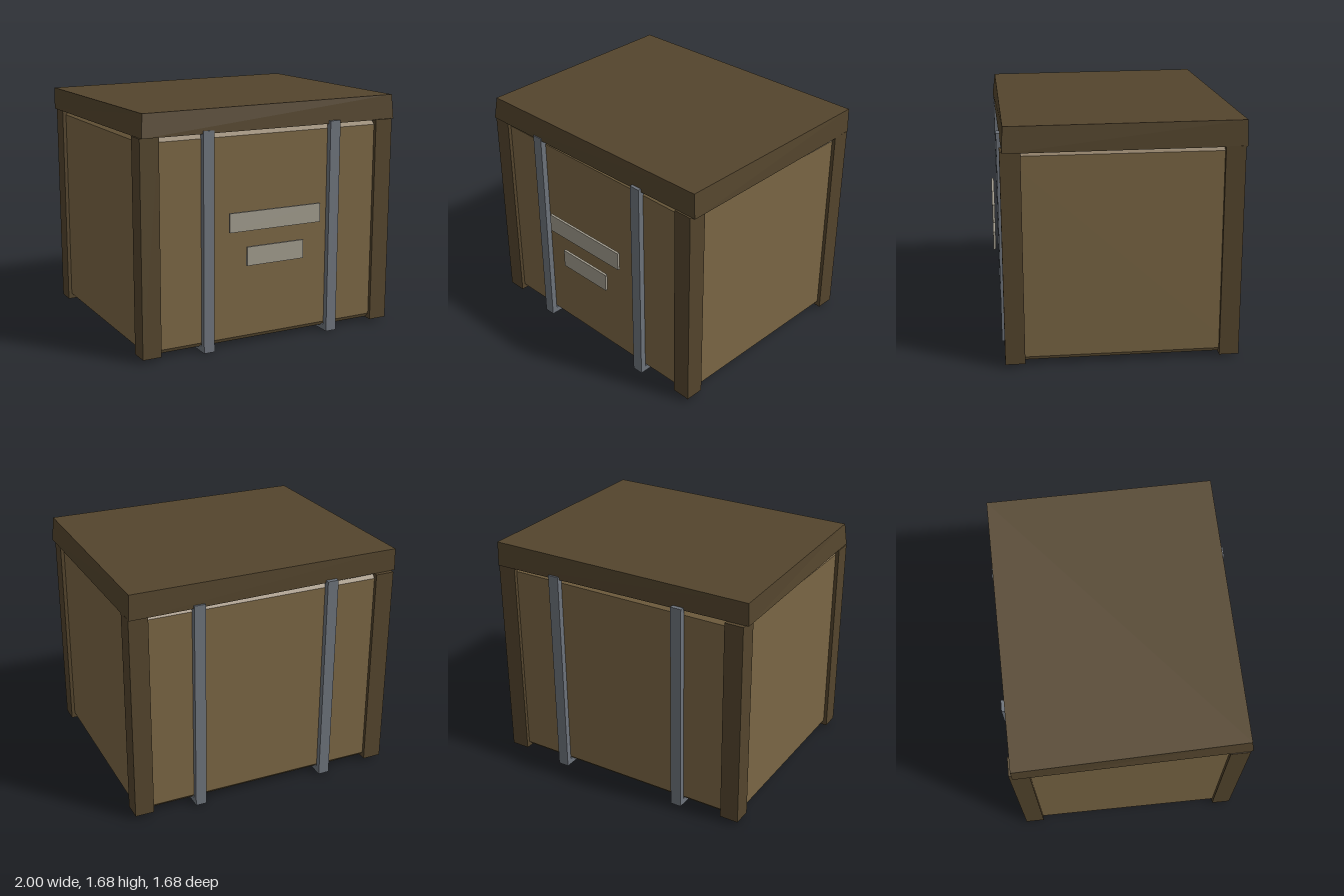
import * as THREE from 'three';

const CENTER_Z = -0.02;

function material(color) {
  return new THREE.MeshStandardMaterial({ color, flatShading: true });
}

export function createModel() {
  const crate = new THREE.Group();
  crate.name = 'crate';
  const panelWood = material(0x7a6644);
  const darkWood = material(0x54452d);
  const metal = material(0x6d737b);
  const plate = material(0xa09a8c);

  function add(name, geometry, mat, parent = crate) {
    const mesh = new THREE.Mesh(geometry, mat);
    mesh.name = name;
    parent.add(mesh);
    return mesh;
  }

  // Box given by its lower and upper corners
  function block(name, min, max, mat, parent) {
    const [w, h, d] = max.map((v, i) => v - min[i]);
    const mesh = add(name, new THREE.BoxGeometry(w, h, d), mat, parent);
    mesh.position.set(...max.map((v, i) => (v + min[i]) / 2));
    return mesh;
  }

  // Body: panels with chamfered top and bottom rims
  const bevel = 0.035, hx = 0.95 - bevel, hz = 0.78 - bevel;
  const outline = new THREE.Shape([
    new THREE.Vector2(-hx, -hz), new THREE.Vector2(hx, -hz),
    new THREE.Vector2(hx, hz), new THREE.Vector2(-hx, hz),
  ]);
  const bodyGeometry = new THREE.ExtrudeGeometry(outline, {
    depth: 1.41, bevelEnabled: true, bevelSize: bevel, bevelThickness: bevel, bevelSegments: 1,
  });
  bodyGeometry.rotateX(-Math.PI / 2);
  add('body', bodyGeometry, panelWood).position.set(0, 0.03 + bevel, CENTER_Z);

  // Corner posts
  for (const sx of [-1, 1]) {
    for (const sz of [-1, 1]) {
      const post = add('cornerPost', new THREE.BoxGeometry(0.135, 1.485, 0.135), darkWood);
      post.position.set(sx * 0.9075, 0.7675, CENTER_Z + sz * 0.7375);
    }
  }

  // Lid: a box with its corners nudged slightly askew
  const corners = {
    // keyed by the signs of x, y, z
    '-1,1,-1': [-0.995, 1.67, -0.8], '1,1,-1': [0.968, 1.682, -0.832],
    '-1,1,1': [-0.952, 1.67, 0.783], '1,1,1': [0.985, 1.68, 0.762],
    '-1,-1,-1': [-1.0, 1.513, -0.8], '1,-1,-1': [0.973, 1.505, -0.835],
    '-1,-1,1': [-0.968, 1.512, 0.802], '1,-1,1': [1.0, 1.506, 0.77],
  };
  const lidGeometry = new THREE.BoxGeometry(2, 2, 2);
  const p = lidGeometry.attributes.position;
  for (let i = 0; i < p.count; i++) {
    p.setXYZ(i, ...corners[[p.getX(i), p.getY(i), p.getZ(i)].join()]);
  }
  lidGeometry.computeVertexNormals();
  add('lid', lidGeometry, darkWood);

  // Metal straps running down the front, under the base and up the back
  for (const x of [-0.49, 0.49]) {
    const strap = new THREE.Group();
    strap.name = 'strap';
    crate.add(strap);
    const x0 = x - 0.04, x1 = x + 0.04;
    block('strapFront', [x0, 0, 0.757], [x1, 1.53, 0.8], metal, strap);
    block('strapBack', [x0, 0, -0.84], [x1, 1.53, -0.797], metal, strap);
    block('strapBase', [x0, 0, -0.797], [x1, 0.04, 0.757], metal, strap);
  }

  // Blank plates in front of the crate
  block('upperPlate', [-0.353, 0.835, 0.82], [0.353, 0.968, 0.838], plate);
  block('lowerPlate', [-0.22, 0.59, 0.82], [0.22, 0.722, 0.838], plate);

  return crate;
}
